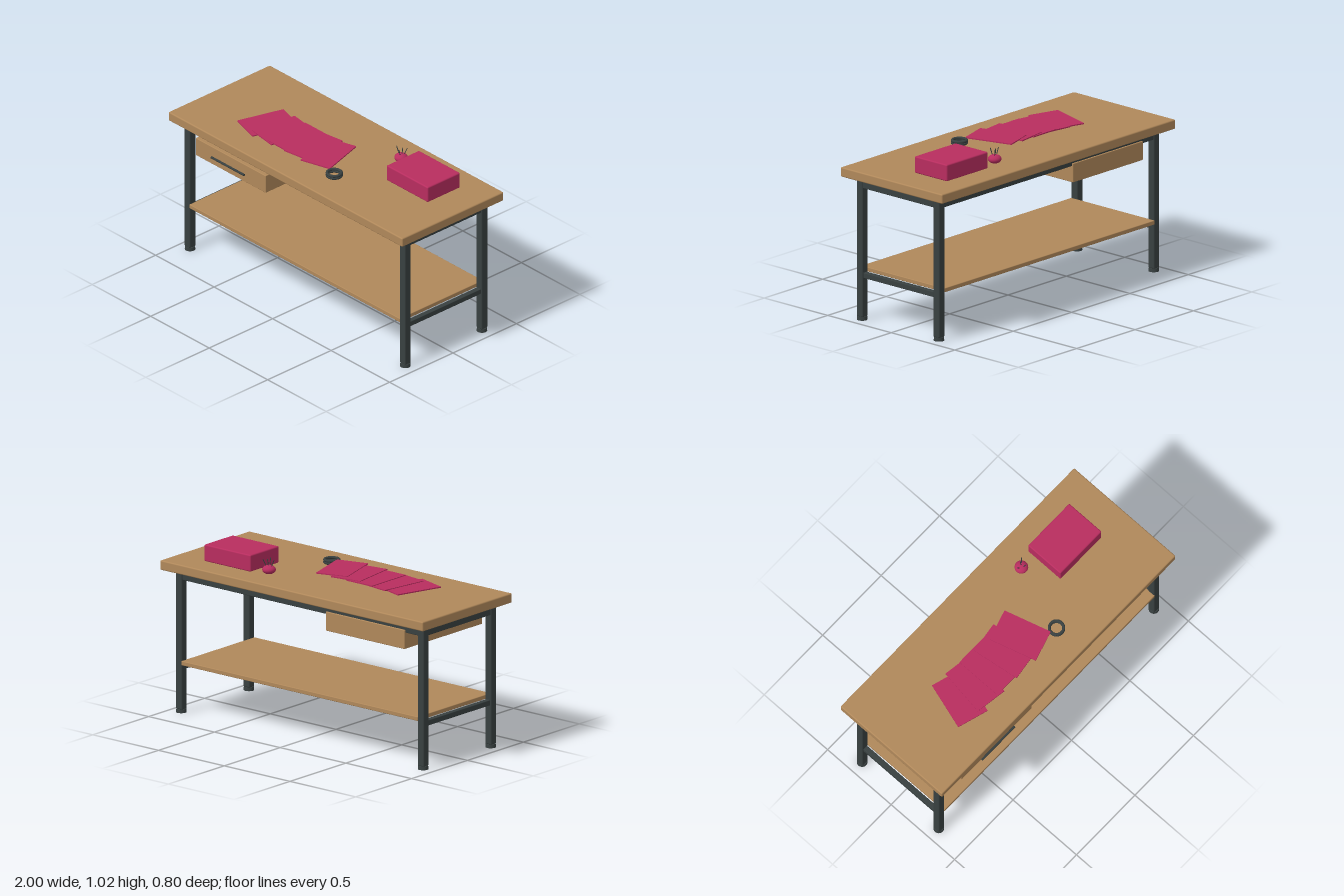
import * as THREE from 'three';
import { RoundedBoxGeometry } from 'three/addons/geometries/RoundedBoxGeometry.js';

export function createModel() {
  const wood = new THREE.MeshStandardMaterial({ color: 0xb0885a });
  wood.name = 'wood';
  const steel = new THREE.MeshStandardMaterial({ color: 0x384040 });
  steel.name = 'dark steel';
  const crimson = new THREE.MeshStandardMaterial({ color: 0xb82d5f });
  crimson.name = 'crimson';

  const model = new THREE.Group();
  model.name = 'workTable';

  const add = (name, geometry, material, x, y, z) => {
    const mesh = new THREE.Mesh(geometry, material);
    mesh.name = name;
    mesh.position.set(x, y, z);
    model.add(mesh);
    return mesh;
  };
  // Softly rounded block given by its minimum and maximum corners
  const block = (name, material, [x0, y0, z0], [x1, y1, z1], radius = 0.004) =>
    add(name, new RoundedBoxGeometry(x1 - x0, y1 - y0, z1 - z0, 2, radius), material,
      (x0 + x1) / 2, (y0 + y1) / 2, (z0 + z1) / 2);

  // Worktop and lower shelf
  block('tabletop', wood, [-1, 0.863, -0.4], [1, 0.921, 0.4], 0.008);
  block('shelf', wood, [-0.9, 0.29, -0.328], [0.9, 0.316, 0.328]);

  // Legs with round feet
  for (const sx of [-1, 1]) {
    for (const sz of [-1, 1]) {
      const x = sx * 0.92, z = sz * 0.302;
      block('leg', steel, [x - 0.024, 0.02, z - 0.024], [x + 0.024, 0.863, z + 0.024], 0.007);
      add('foot', new THREE.CylinderGeometry(0.029, 0.031, 0.022, 24), steel, x, 0.011, z);
    }
  }

  // Upper frame and shelf supports
  for (const s of [-1, 1]) {
    block('longRail', steel, [-0.9, 0.803, s * 0.302 - 0.018], [0.9, 0.841, s * 0.302 + 0.018]);
    block('endRail', steel, [s * 0.92 - 0.018, 0.803, -0.285], [s * 0.92 + 0.018, 0.841, 0.285]);
    block('shelfRail', steel, [s * 0.92 - 0.016, 0.258, -0.285], [s * 0.92 + 0.016, 0.291, 0.285]);
  }

  // Drawer with a bar handle
  block('drawer', wood, [-0.8, 0.705, -0.328], [-0.2, 0.82, 0.37]);
  const bar = add('drawerHandle', new THREE.CylinderGeometry(0.007, 0.007, 0.28, 12), steel, -0.505, 0.763, 0.388);
  bar.rotation.z = Math.PI / 2;

  // Storage box
  block('box', crimson, [0.44, 0.921, -0.248], [0.793, 1.022, 0.008], 0.008);

  // Fan of swatches, each resting a little higher than the last
  for (let i = 0; i < 5; i++) {
    const swatch = add('swatch', new THREE.BoxGeometry(0.198, 0.007, 0.298), crimson,
      -0.497 + i * 0.129, 0.934 + i * 0.004, 0.078);
    swatch.rotation.y = (i - 2) * 0.145;
  }

  // Ring-shaped roll
  for (const y of [0.93, 0.944]) {
    const ring = add('ring', new THREE.TorusGeometry(0.042, 0.0085, 12, 40), steel, 0.2, y, 0.198);
    ring.rotation.x = Math.PI / 2;
  }

  // Pincushion with leaning pins
  const cushion = add('pincushion', new THREE.SphereGeometry(0.04, 28, 18), crimson, 0.336, 0.947, -0.204);
  cushion.scale.y = 0.66;
  for (const [dx, dz] of [[-0.036, 0.003], [0.026, -0.024], [0.01, 0.026], [0.003, -0.01]]) {
    const base = new THREE.Vector3(0.336 + dx * 0.4, 0.96, -0.204 + dz * 0.4);
    const tip = new THREE.Vector3(0.336 + dx, 1.01, -0.204 + dz);
    const dir = tip.clone().sub(base);
    const mid = base.clone().add(tip).multiplyScalar(0.5);
    const pin = add('pin', new THREE.CylinderGeometry(0.0025, 0.0025, dir.length(), 8), steel, mid.x, mid.y, mid.z);
    pin.quaternion.setFromUnitVectors(new THREE.Vector3(0, 1, 0), dir.normalize());
  }

  return model;
}
